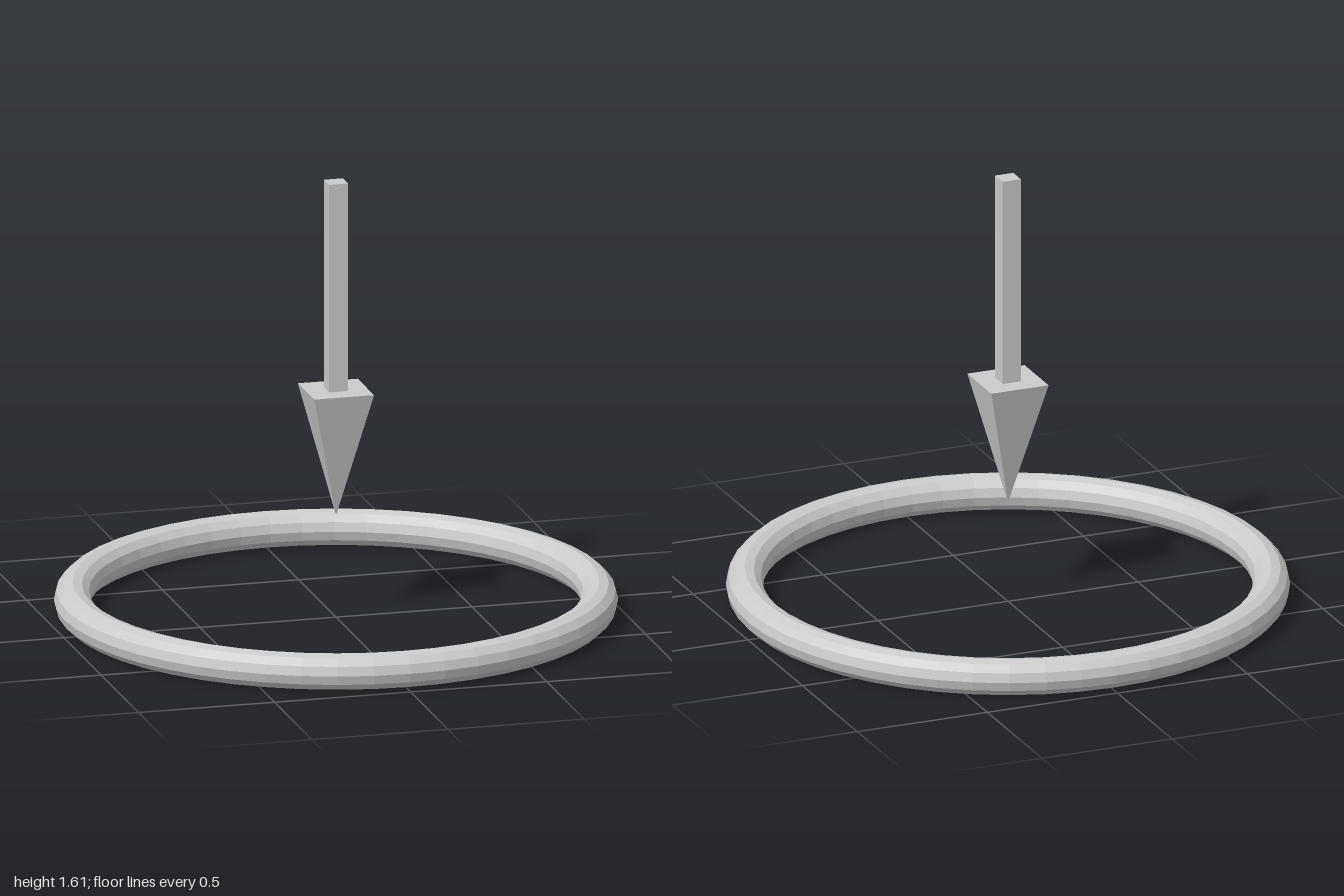
import * as THREE from 'three';

export function createModel() {
  const model = new THREE.Group();
  const material = new THREE.MeshStandardMaterial({ color: 0xcccccc, flatShading: true });

  function add(name, geometry, y) {
    const mesh = new THREE.Mesh(geometry, material);
    mesh.name = name;
    mesh.position.y = y;
    model.add(mesh);
  }

  // Faceted ring lying on the ground
  const tube = 0.0665;
  add('ring', new THREE.TorusGeometry(1 - tube, tube, 12, 48).rotateX(-Math.PI / 2), tube);

  // Arrow pointing down at the ring's centre: square pyramid head and square shaft
  const tip = 0.375, headTop = 0.84, shaftTop = 1.605;
  const headHeight = headTop - tip;
  const head = new THREE.ConeGeometry(0.11 * Math.SQRT2, headHeight, 4)
    .rotateY(Math.PI / 4)
    .rotateX(Math.PI);
  add('arrowHead', head, tip + headHeight / 2);

  const shaftHeight = shaftTop - headTop;
  add('arrowShaft', new THREE.BoxGeometry(0.07, shaftHeight, 0.07), headTop + shaftHeight / 2);

  return model;
}
